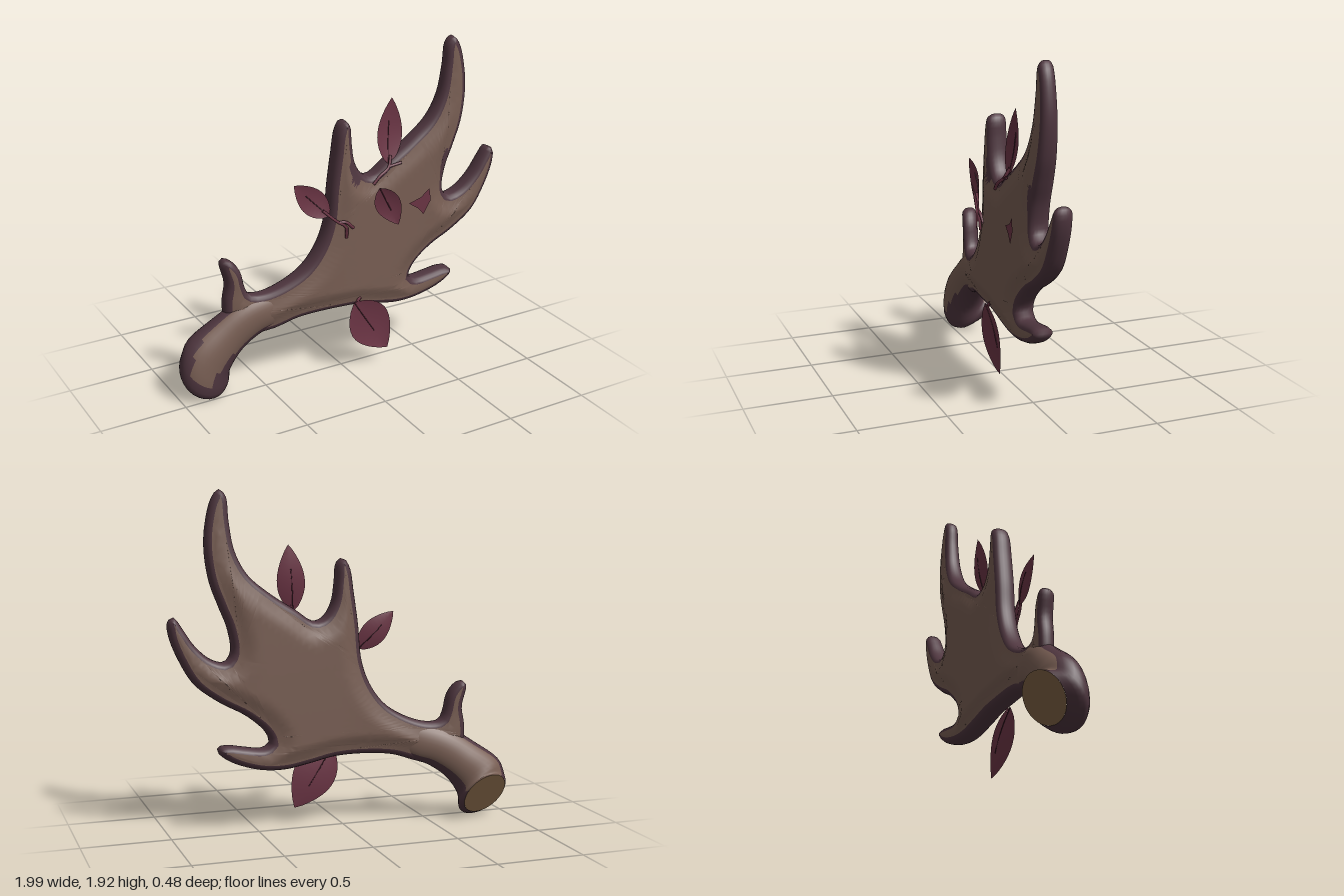
import * as THREE from 'three';
import { mergeVertices } from 'three/addons/utils/BufferGeometryUtils.js';

const V = (x, y, z = 0) => new THREE.Vector3(x, y, z);
const smooth = THREE.MathUtils.smoothstep;

// Halve the longest edge until every edge is shorter than the limit
function split(a, b, c, limit, emit) {
  const ab = a.distanceTo(b), bc = b.distanceTo(c), ca = c.distanceTo(a);
  const longest = Math.max(ab, bc, ca);
  if (longest < limit) return emit(a, b, c);
  if (longest === bc) [a, b, c] = [b, c, a];
  else if (longest === ca) [a, b, c] = [c, a, b];
  const m = a.clone().add(b).multiplyScalar(.5);
  split(a, m, c, limit, emit);
  split(m, b, c, limit, emit);
}

// One geometry from two triangle lists, one material group for each
function twoTone(lists) {
  const g = new THREE.BufferGeometry().setFromPoints(lists.flat());
  g.addGroup(0, lists[0].length, 0);
  g.addGroup(lists[0].length, lists[1].length, 1);
  return mergeVertices(g);
}

export function createModel() {
  const group = new THREE.Group();
  const mat = (name, color, side = THREE.FrontSide) => {
    const m = new THREE.MeshStandardMaterial({ color, side });
    m.name = name;
    return m;
  };
  const tan = mat('antler tan', 0x785e53);
  const plum = mat('antler plum', 0x4f363f);
  const core = mat('cut core brown', 0x826547);
  const red = mat('leaf red', 0x6c3545, THREE.DoubleSide);
  const dark = mat('vein dark red', 0x4a2531);
  const add = (name, geometry, material, parent = group) => {
    const mesh = new THREE.Mesh(geometry, material);
    mesh.name = name;
    parent.add(mesh);
    return mesh;
  };

  // Palm with all its tines: one smooth outline, bevelled, then domed, bent and thinned
  const outline = [
    [-.70, .42], [-.715, .55], [-.70, .66], [-.72, .75], [-.725, .79], [-.70, .812], [-.66, .79],
    [-.62, .73], [-.60, .64], [-.575, .585], [-.50, .575], [-.38, .61], [-.25, .69], [-.16, .81],
    [-.11, .95], [-.09, 1.15], [-.065, 1.33], [-.04, 1.48], [-.005, 1.53], [.03, 1.50], [.04, 1.40],
    [.06, 1.28], [.11, 1.20], [.17, 1.18], [.28, 1.25], [.42, 1.34], [.55, 1.45], [.62, 1.58],
    [.65, 1.74], [.665, 1.88], [.70, 1.915], [.74, 1.87], [.775, 1.74], [.785, 1.60], [.76, 1.42],
    [.71, 1.28], [.66, 1.15], [.645, 1.02], [.68, .97], [.76, .99], [.85, 1.07], [.91, 1.16],
    [.96, 1.225], [.99, 1.20], [.985, 1.12], [.93, .98], [.85, .85], [.72, .75], [.56, .66],
    [.45, .56], [.43, .50], [.47, .475], [.57, .485], [.67, .50], [.72, .49], [.725, .465],
    [.66, .41], [.50, .355], [.35, .345], [.20, .37], [.05, .40], [-.15, .405], [-.30, .39],
    [-.45, .345], [-.58, .34],
  ].map(([x, y]) => V(x, y));
  const edge = new THREE.CatmullRomCurve3(outline, true, 'centripetal').getSpacedPoints(260).slice(0, -1);
  const slab = new THREE.ExtrudeGeometry(new THREE.Shape(edge.map(p => new THREE.Vector2(p.x, p.y))), {
    depth: .02, bevelEnabled: true, bevelThickness: .05, bevelSize: .034, bevelOffset: -.034,
    bevelSegments: 4,
  });
  slab.translate(0, 0, -.01);

  // the rim colour spreads onto the front inside two of the forks
  const inFork = p => p.z > 0 &&
    (Math.hypot((p.x - .055) / .045, (p.y - 1.27) / .12) < 1 || Math.hypot((p.x - .65) / .04, (p.y - 1.12) / .14) < 1);
  const corner = i => new THREE.Vector3().fromBufferAttribute(slab.attributes.position, i);
  const sheets = [[], []];
  slab.groups.forEach(({ start, count, materialIndex }) => {
    for (let i = start; i < start + count; i += 3) {
      split(corner(i), corner(i + 1), corner(i + 2), .05, (a, b, c) => {
        const centre = a.clone().add(b).add(c).divideScalar(3);
        sheets[inFork(centre) ? 1 : materialIndex].push(a, b, c);
      });
    }
  });
  const palm = twoTone(sheets);
  const pos = palm.attributes.position;
  for (let i = 0; i < pos.count; i++) {
    const x = pos.getX(i), y = pos.getY(i);
    const inset = Math.min(...edge.map(p => Math.hypot(p.x - x, p.y - y)));
    const dome = 1 + .4 * smooth(inset, .03, .13);
    const thin = 1 - .3 * smooth(Math.hypot(x - .25, y - .85), .5, 1.15);
    const mid = .02 - .165 * Math.pow(Math.max(0, -x), 1.5) + .06 * Math.max(0, x - .5);
    pos.setZ(i, pos.getZ(i) * dome * thin + mid);
  }
  palm.computeVertexNormals();
  add('antlerPalm', palm, [tan, plum]);

  // Stem and flared base: smoothed elliptical rings [centre, direction, width, thickness]
  const rings = [
    [V(-.82, .15, -.17), V(.2, .48, .85), .14, .14],
    [V(-.835, .14, -.1), V(.27, .59, .76), .165, .168],
    [V(-.81, .24, -.085), V(.5, .7, .42), .158, .125],
    [V(-.7, .345, -.075), V(.72, .65, .15), .132, .1],
    [V(-.57, .43, -.055), V(.8, .5, .1), .125, .085],
    [V(-.44, .47, -.032), V(.88, .35, .1), .115, .068],
    [V(-.28, .52, -.005), V(.92, .3, .1), .07, .03],
  ];
  const track = pick => new THREE.CatmullRomCurve3(rings.map(pick), false, 'catmullrom', .5);
  const centres = track(r => r[0]), heads = track(r => r[1]), sizes = track(r => V(r[2], r[3]));
  const N = 32, STEPS = 4, last = (rings.length - 1) * STEPS;
  const loops = Array.from({ length: last + 1 }, (_, i) => {
    const c = centres.getPoint(i / last), T = heads.getPoint(i / last).normalize(), s = sizes.getPoint(i / last);
    const u = V(-T.y, T.x).normalize(), v = T.clone().cross(u);
    return Array.from({ length: N }, (_, j) => {
      const a = j / N * Math.PI * 2;
      return c.clone().addScaledVector(u, Math.cos(a) * s.x).addScaledVector(v, Math.sin(a) * s.y);
    });
  });
  const bands = [[], []];
  for (let i = 0; i < last; i++) {
    // broad front and back are tan, the rims and the flare's front are plum
    const grow = smooth(i / STEPS, 1.3, 3);
    for (let j = 0; j < N; j++) {
      const deg = (j + .5) / N * 360, k = (j + 1) % N, p = loops[i], q = loops[i + 1];
      const front = i >= 1.4 * STEPS && deg > 50 - 32 * grow && deg < 100 + 20 * grow;
      const back = deg > 222 && deg < 330;
      bands[front || back ? 0 : 1].push(p[j], p[k], q[j], p[k], q[k], q[j]);
    }
  }
  const stem = twoTone(bands);
  stem.computeVertexNormals();
  add('antlerStem', stem, [tan, plum]);

  // Flat cut end of the base
  const cut = add('cutEnd', new THREE.CircleGeometry(.14, N), core);
  cut.position.copy(rings[0][0]);
  cut.lookAt(rings[0][0].clone().sub(rings[0][1]));

  // Leaves: a folded blade between base and tip, with a raised midrib
  const leaf = (name, base, tip, width, tilt = 0) => {
    const dir = tip.clone().sub(base), length = dir.length();
    dir.normalize();
    const side = dir.clone().cross(V(0, 0, 1)).normalize();
    side.z += tilt;
    side.addScaledVector(dir, -side.dot(dir)).normalize();
    const blade = new THREE.PlaneGeometry(1, 1, 2, 12);
    const p = blade.attributes.position;
    for (let i = 0; i < p.count; i++) {
      const t = p.getY(i) + .5;
      const x = p.getX(i) * width * Math.pow(Math.max(0, Math.sin(Math.PI * Math.pow(t, .85))), .85);
      p.setXYZ(i, x, t * length, Math.abs(x) * .2 - .02 * Math.sin(Math.PI * t));
    }
    blade.computeVertexNormals();
    const part = new THREE.Group();
    part.name = name;
    part.matrix.makeBasis(side, dir, side.clone().cross(dir)).setPosition(base);
    part.matrix.decompose(part.position, part.quaternion, part.scale);
    add('leafBlade', blade, red, part);
    const rib = [0, .3, .65].map(t => V(0, t * length, -.02 * Math.sin(Math.PI * t)));
    add('leafRib', new THREE.TubeGeometry(new THREE.CatmullRomCurve3(rib), 6, .003, 5), dark, part);
    group.add(part);
  };
  leaf('leftLeaf', V(-.12, 1.0, .08), V(-.33, 1.215, .06), .15);
  leaf('topLeaf', V(.275, 1.23, .06), V(.31, 1.61, .03), .165);
  leaf('floatingLeaf', V(.125, 1.165, .21), V(.24, .93, .23), .145, -.35);
  leaf('lowerLeaf', V(.03, .44, .1), V(.26, .09, .1), .26);

  // Twigs holding the leaves
  [
    [V(-.16, 1.04, .075), V(-.08, .965, .1), V(-.03, .93, .11), V(-.025, .86, .105)],
    [V(-.07, .96, .1), V(-.03, .955, .105), V(.02, .91, .105)],
    [V(.29, 1.28, .055), V(.265, 1.22, .08), V(.2, 1.18, .09), V(.16, 1.14, .09)],
    [V(.27, 1.225, .08), V(.34, 1.24, .095)],
    [V(.05, .42, .09), V(.065, .445, .09), V(.08, .455, .085)],
  ].forEach(path => add('twig',
    new THREE.TubeGeometry(new THREE.CatmullRomCurve3(path), 8, .009, 6), red));

  // Torn leaf fragment lying on the palm
  const scrap = new THREE.ShapeGeometry(new THREE.Shape(
    [[-.07, .0], [.005, .025], [.06, .075], [.07, 0], [.025, -.08], [-.01, -.04]]
      .map(p => new THREE.Vector2(...p))));
  scrap.rotateY(-.12);
  add('leafFragment', scrap, red).position.set(.45, .99, .125);

  return group;
}
